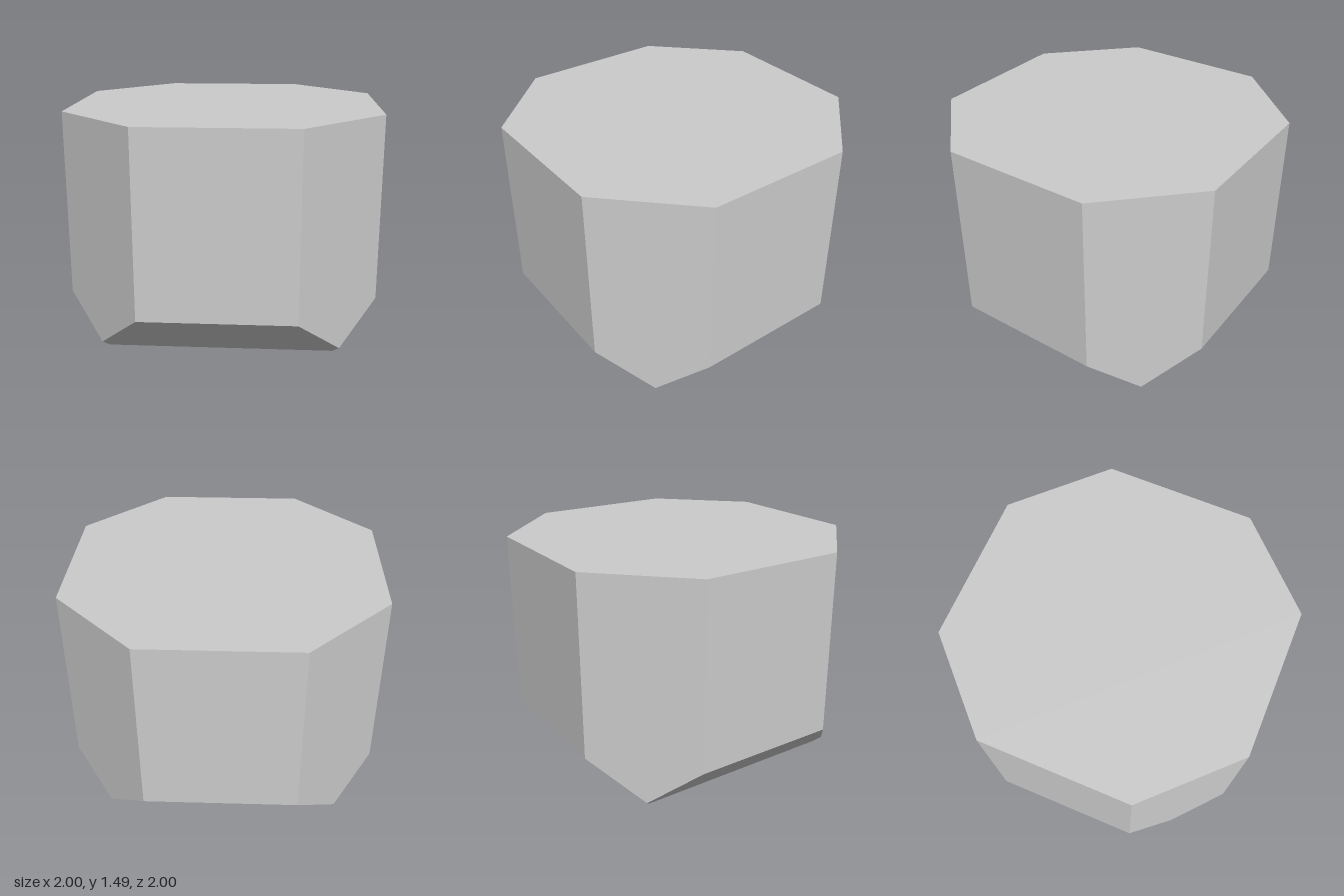
import * as THREE from 'three';
import { ConvexGeometry } from 'three/addons/geometries/ConvexGeometry.js';

const HEIGHT = 1.485;
const HALF = 1;       // half width of the octagon
const FLAT = 0.485;   // half length of each straight side
const BASE_X = 0.715; // half size of the base
const BASE_Z = 0.69;

export function createModel() {
  const group = new THREE.Group();
  group.name = 'chamferedBlock';

  // Height where the 45 degree bottom chamfers meet at the diagonal walls
  const meet = (HALF + FLAT - BASE_X - BASE_Z) / 2;

  // Corners of one quarter, mirrored into all four
  const quarter = [
    [FLAT, HEIGHT, HALF],
    [HALF, HEIGHT, FLAT],
    [FLAT, HALF - BASE_Z, HALF],
    [HALF, HALF - BASE_X, FLAT],
    [BASE_X + meet, meet, BASE_Z + meet],
    [BASE_X, 0, BASE_Z],
  ];
  const corners = [];
  for (const sx of [-1, 1]) {
    for (const sz of [-1, 1]) {
      for (const [x, y, z] of quarter) corners.push(new THREE.Vector3(sx * x, y, sz * z));
    }
  }

  // Octagonal body with the underside chamfered on four sides
  const body = new THREE.Mesh(
    new ConvexGeometry(corners),
    new THREE.MeshStandardMaterial({ color: 0xcccccc, flatShading: true })
  );
  body.name = 'octagonalBody';
  group.add(body);
  return group;
}
